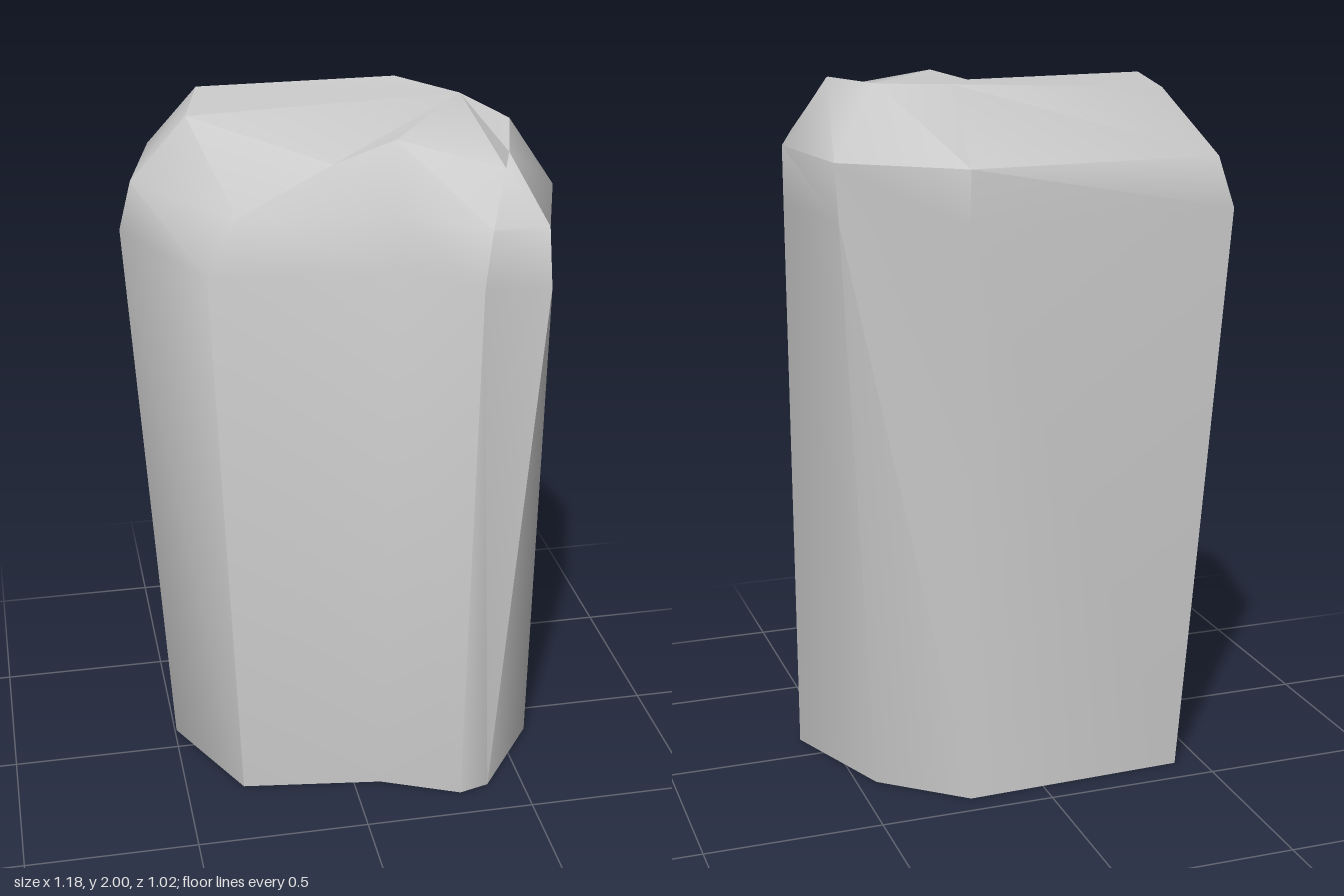
import * as THREE from 'three';
import { toCreasedNormals } from 'three/addons/utils/BufferGeometryUtils.js';

// Vertical ridges of the stone, clockwise from above:
// each holds the base, shoulder, bevel and crown points (x, y, z).
const RIDGES = [
  [[-0.42, 0, -0.41], [-0.51, 1.66, -0.5], [-0.47, 1.8, -0.48], [-0.33, 1.98, -0.41]],
  [[0.22, 0, -0.43], [0.24, 1.64, -0.5], [0.24, 1.8, -0.51], [0.24, 2.0, -0.345]],
  [[0.445, 0, -0.24], [0.53, 1.64, -0.275], [0.54, 1.8, -0.28], [0.39, 1.99, -0.17]],
  [[0.585, 0, 0.11], [0.588, 1.64, 0.11], [0.588, 1.8, 0.11], [0.465, 1.985, 0.08]],
  [[0.395, 0, 0.375], [0.485, 1.64, 0.477], [0.48, 1.8, 0.45], [0.4, 1.965, 0.315]],
  [[0.305, 0, 0.4], [0.295, 1.66, 0.507], [0.32, 1.81, 0.48], [0.385, 1.93, 0.345]],
  [[0.08, 0, 0.3], [0.1, 1.66, 0.345], [0.11, 1.8, 0.31], [0.12, 1.985, 0.22]],
  [[-0.33, 0, 0.245], [-0.4, 1.66, 0.29], [-0.31, 1.8, 0.235], [-0.055, 1.935, 0.245]],
  [[-0.495, 0, -0.09], [-0.59, 1.66, -0.135], [-0.555, 1.8, -0.13], [-0.4, 1.99, -0.085]],
];

function stoneGeometry() {
  const n = RIDGES.length, levels = RIDGES[0].length;
  const index = [];
  const id = (ridge, level) => (ridge % n) * levels + level;

  // side facets between neighbouring ridges
  for (let i = 0; i < n; i++) {
    for (let l = 0; l < levels - 1; l++) {
      const a = id(i, l), b = id(i + 1, l);
      index.push(a, a + 1, b + 1, a, b + 1, b);
    }
  }
  // crown and base as fans
  const crown = 2, base = 6;
  for (let k = 1; k < n - 1; k++) {
    index.push(id(crown, 3), id(crown + k + 1, 3), id(crown + k, 3));
    index.push(id(base, 0), id(base + k, 0), id(base + k + 1, 0));
  }

  const geometry = new THREE.BufferGeometry();
  geometry.setAttribute('position', new THREE.Float32BufferAttribute(RIDGES.flat(2), 3));
  geometry.setIndex(index);
  return toCreasedNormals(geometry, 0.75);
}

export function createModel() {
  const group = new THREE.Group();
  group.name = 'standingStone';
  const stone = new THREE.Mesh(
    stoneGeometry(),
    new THREE.MeshStandardMaterial({ color: 0xcccccc })
  );
  stone.name = 'stone';
  group.add(stone);
  return group;
}
